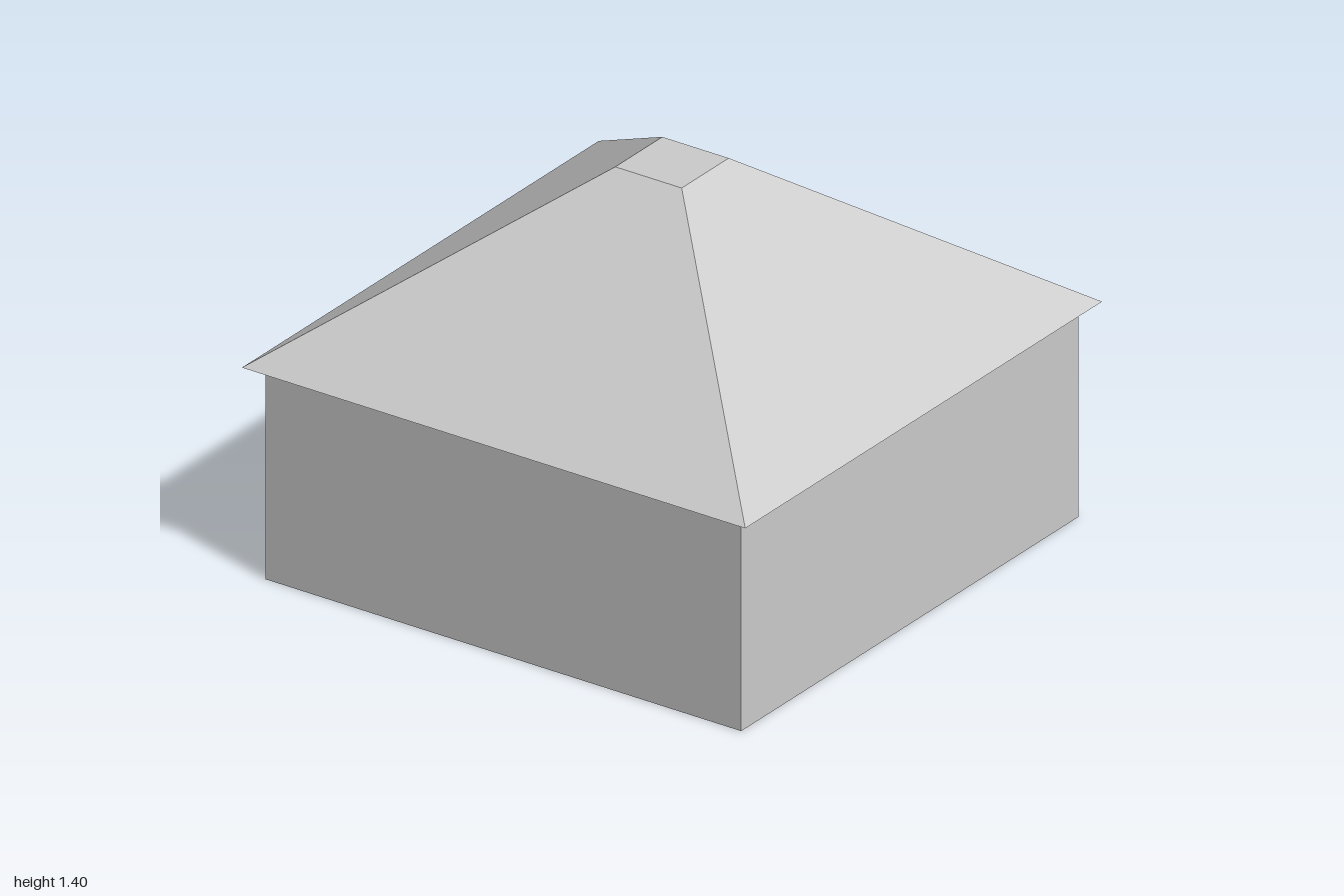
import * as THREE from 'three';

const WALL_HEIGHT = 0.775, OUTER = 0.945, THICKNESS = 0.067;
const TOP = 1.4, EAVE = 1, CAP = 0.132;
const DOOR_FRONT = 0.153, DOOR_BACK = -0.162; // z limits of the doorway

export function createModel() {
  const group = new THREE.Group();
  group.name = 'hut';
  const material = new THREE.MeshStandardMaterial({ color: 0xcccccc, flatShading: true });

  // Walls: a square ring, cut open by a full-height doorway in the +x side
  const inner = OUTER - THICKNESS;
  const plan = [
    [OUTER, DOOR_FRONT], [OUTER, OUTER], [-OUTER, OUTER], [-OUTER, -OUTER], [OUTER, -OUTER], [OUTER, DOOR_BACK],
    [inner, DOOR_BACK], [inner, -inner], [-inner, -inner], [-inner, inner], [inner, inner], [inner, DOOR_FRONT],
  ];
  const outline = new THREE.Shape(plan.map(([x, z]) => new THREE.Vector2(x, -z)));
  const wallGeometry = new THREE.ExtrudeGeometry(outline, { depth: WALL_HEIGHT, bevelEnabled: false });
  wallGeometry.rotateX(-Math.PI / 2);
  const walls = new THREE.Mesh(wallGeometry, material);
  walls.name = 'walls';
  group.add(walls);

  // Roof: a four-sided frustum with a flat cap and a flat ceiling below
  const roofHeight = TOP - WALL_HEIGHT;
  const roofGeometry = new THREE.CylinderGeometry(CAP * Math.SQRT2, EAVE * Math.SQRT2, roofHeight, 4, 1, false, Math.PI / 4);
  const roof = new THREE.Mesh(roofGeometry, material);
  roof.name = 'roof';
  roof.position.y = WALL_HEIGHT + roofHeight / 2;
  group.add(roof);

  return group;
}
